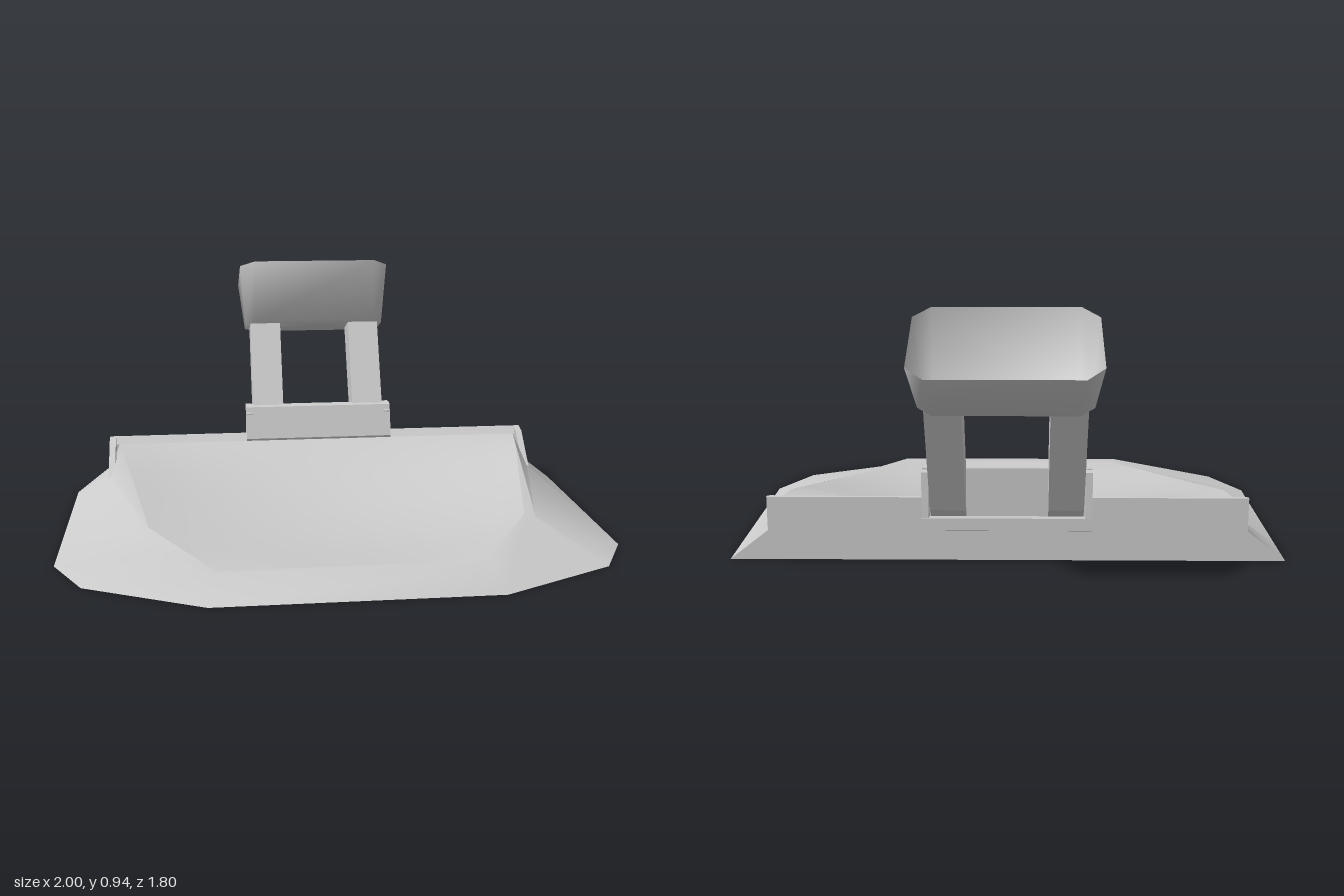
import * as THREE from 'three';
import { toCreasedNormals } from 'three/addons/utils/BufferGeometryUtils.js';

const material = new THREE.MeshStandardMaterial({ color: 0xcccccc, side: THREE.DoubleSide });

// Skin a list of equally long point rows
function loft(rows, closed = false, crease = 0.6) {
  const n = rows[0].length;
  const index = [];
  for (let i = 0; i < rows.length - 1; i++) {
    for (let j = 0; j < (closed ? n : n - 1); j++) {
      const k = (j + 1) % n;
      const a = i * n + j, b = i * n + k, c = a + n, d = b + n;
      index.push(a, c, b, b, c, d);
    }
  }
  const g = new THREE.BufferGeometry();
  g.setAttribute('position', new THREE.Float32BufferAttribute(rows.flat(2), 3));
  g.setIndex(index);
  return toCreasedNormals(g, crease);
}

// Extend a +x half outline with its mirror image
const mirror = pts => [...pts, ...pts.map(([x, y, z]) => [-x, y, z]).reverse()];

// Extrude a [z, y] side profile along x
function sidePrism(profile, x0, x1) {
  const shape = new THREE.Shape(profile.map(([z, y]) => new THREE.Vector2(-z, y)));
  const g = new THREE.ExtrudeGeometry(shape, { depth: x1 - x0, bevelEnabled: false });
  return g.rotateY(Math.PI / 2).translate(x0, 0, 0);
}

export function createModel() {
  const model = new THREE.Group();
  const add = (name, geometry) => {
    const mesh = new THREE.Mesh(geometry, material);
    mesh.name = name;
    model.add(mesh);
  };

  // Sloping border: ground outline, ridge, and rim of the tray
  const outline = [[1, 0, -0.38], [1, 0, -0.2], [1, 0, 0.48], [0.89, 0, 0.69], [0.48, 0, 0.9]];
  const ridge = [[0.86, 0.11, -0.38], [0.85, 0.11, -0.2], [0.72, 0.082, 0.38], [0.61, 0.066, 0.56], [0.47, 0.055, 0.78]];
  const rim = [[0.82, 0.215, -0.32], [0.8, 0.215, -0.22], [0.68, 0.09, 0.37], [0.565, 0.072, 0.55], [0.45, 0.055, 0.73]];
  add('baseBorder', loft([outline, ridge, rim].map(mirror), false, 0.9));

  // Concave tray: rows of [z, half width, rim height, floor height]
  const stations = [
    [-0.32, 0.82, 0.215, 0.215], [-0.22, 0.8, 0.215, 0.16], [-0.1, 0.776, 0.19, 0.11],
    [0.1, 0.735, 0.147, 0.058], [0.37, 0.68, 0.09, 0.034], [0.55, 0.565, 0.072, 0.038], [0.73, 0.45, 0.055, 0.055],
  ];
  const tray = stations.map(([z, w, high, low]) => {
    const row = [];
    for (let i = 0; i <= 16; i++) {
      const s = i / 8 - 1;
      row.push([s * w, low + (high - low) * s * s, z]);
    }
    return row;
  });
  add('trayPanel', loft(tray, false, 1.2));

  // Underside: shallow recess with a lip along the front
  const inner = [[1, 0, -0.38], [0.97, 0.002, -0.3], [0.72, 0.022, 0.35], [0.57, 0.024, 0.55], [0.42, 0.026, 0.7]];
  add('undersideLip', loft([outline, inner].map(mirror)));
  add('undersidePanel', loft(inner.map(([x, y, z]) => [[-x, y, z], [x, y, z]])));

  // Upright wall along the back, joined to the tray by a sloping seam
  const wall = new THREE.Shape();
  [[-1, 0], [1, 0], [0.86, 0.11], [0.86, 0.235], [-0.86, 0.235], [-0.86, 0.11]]
    .forEach(([x, y], i) => (i ? wall.lineTo(x, y) : wall.moveTo(x, y)));
  add('backWall', new THREE.ExtrudeGeometry(wall, { depth: 0.015, bevelEnabled: false }).translate(0, 0, -0.38));
  add('wallSeam', loft([
    [[-0.82, 0.215, -0.32], [0.82, 0.215, -0.32]],
    [[-0.84, 0.208, -0.345], [0.84, 0.208, -0.345]],
    [[-0.86, 0.235, -0.365], [0.86, 0.235, -0.365]],
  ]));

  // Bracket plate and floor behind the wall
  add('bracketPlate', sidePrism([[-0.33, 0.22], [-0.37, 0.345], [-0.405, 0.35], [-0.4, 0.12], [-0.37, 0.12]], -0.3, 0.3));
  add('bracketFloor', sidePrism([[-0.38, 0.11], [-0.38, 0.17], [-0.45, 0.18], [-0.45, 0.135]], -0.3, 0.3));

  for (const side of [-1, 1]) {
    const pair = (name, profile, x0, x1) =>
      add(name, sidePrism(profile, side > 0 ? x0 : -x1, side > 0 ? x1 : -x0));
    pair('wallGusset', [[-0.2, 0.1], [-0.33, 0.225], [-0.37, 0.235], [-0.38, 0.235], [-0.38, 0.1]], 0.835, 0.86);
    pair('bracketCheek', [[-0.36, 0.32], [-0.38, 0.345], [-0.44, 0.345], [-0.45, 0.135], [-0.38, 0.11]], 0.275, 0.3);
    pair('strut', [[-0.545, 0.67], [-0.655, 0.63], [-0.66, 0.62], [-0.45, 0.21], [-0.4, 0.17], [-0.39, 0.345]], 0.145, 0.27);
  }

  // Open tub on top of the struts
  const tubTop = mirror([[0.25, 0.935, -0.5], [0.31, 0.91, -0.56], [0.31, 0.795, -0.84], [0.25, 0.77, -0.9]]);
  const tubBottom = mirror([[0.25, 0.685, -0.5], [0.29, 0.662, -0.56], [0.29, 0.627, -0.655], [0.24, 0.61, -0.7]]);
  const tubCentre = tubBottom.map(() => [0, 0.648, -0.6]);
  add('tub', loft([tubTop, tubBottom, tubCentre], true, 1.5));

  return model;
}
